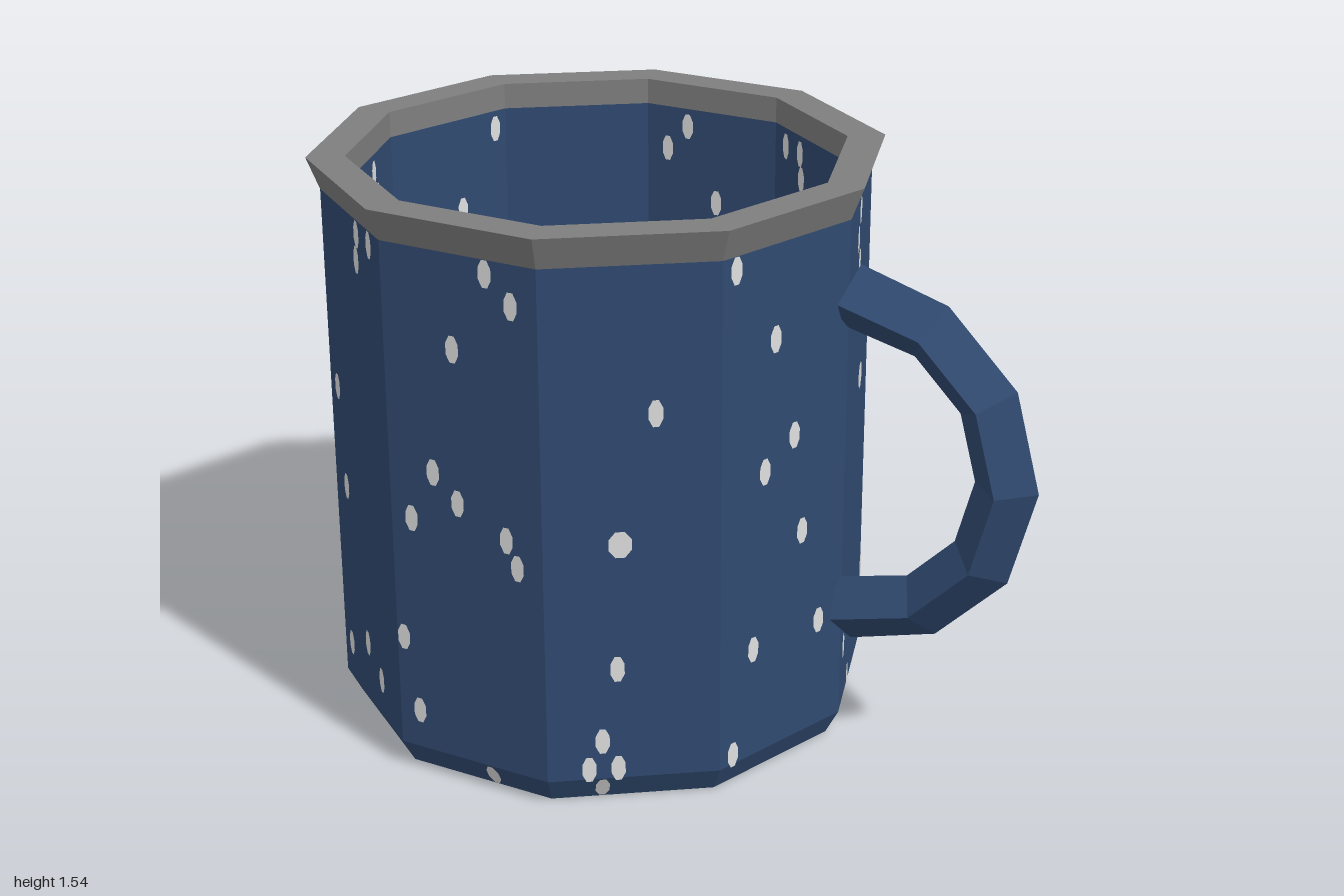
import * as THREE from 'three';
import { mergeGeometries } from 'three/addons/utils/BufferGeometryUtils.js';

const SIDES = 10, CX = -0.25, STEP = Math.PI / 5, APO = Math.cos(Math.PI / 10);
const R_BODY = 0.717, R_BASE = 0.68, R_IN = 0.65, BEVEL = 0.07, FLOOR = 0.07;

// Speckles per wall facet: [offset along facet, height, width factor]
const WALL = [
  [[.178, 1.42], [.041, 1.21], [-.03, .935], [.073, .865], [-.064, .66], [.108, .38], [-.132, .38], [.178, .10]],
  [[-.06, 1.075], [.03, .73, 1.6], [.04, .385], [.08, .18], [.115, .10], [.04, .10], [.08, .037]],
  [[-.08, 1.42], [-.15, 1.35], [.02, 1.21], [.09, .87], [.02, .80], [.16, .73], [-.12, .73], [-.15, .66],
    [.20, .385], [.16, .18], [-.05, .037]],
  [[-.06, 1.42], [-.05, 1.35], [-.15, 1.42], [.16, .935], [.13, .66], [.02, .245], [-.08, .18], [.16, .18]],
  [[.032, 1.42], [.064, 1.35], [.032, 1.28], [-.178, 1.07], [-.05, .935, 1.8], [0, .31], [-.20, .31],
    [.169, .245], [.067, .10]],
];
// Speckles on the floor, half of them; the rest follow by a half turn
const FLAT = [[-.18, -.49], [.01, -.50], [-.44, -.25], [-.325, -.30], [-.05, -.365], [.08, -.365],
  [-.07, -.16], [.16, -.245], [.26, -.26], [.375, -.23]];

function flat(geometry) {
  const g = geometry.index ? geometry.toNonIndexed() : geometry;
  g.computeVertexNormals();
  return g;
}

function ring(profile) {
  const points = profile.map(([r, y]) => new THREE.Vector2(r, y));
  return flat(new THREE.LatheGeometry(points, SIDES, Math.PI / 2)).translate(CX, 0, 0);
}

function speck(width = 1) {
  return new THREE.CircleGeometry(1, 8, Math.PI / 8).scale(0.0195 * width, 0.038, 1);
}

// Wall speckles, repeated with a half turn
function wallSpecks(inner) {
  const parts = [];
  for (let k = 0; k < SIDES; k++) {
    const phi = (k + 0.5) * STEP;
    for (const [u, y, w] of WALL[k % 5]) {
      const low = y < BEVEL;
      if (inner && low) continue;
      const g = speck(w);
      if (inner) g.scale(R_IN / R_BODY, 1, 1).rotateY(Math.PI).translate(-u * R_IN / R_BODY, y, R_IN * APO - 0.003);
      else if (low) {
        const r = R_BASE + (R_BODY - R_BASE) * y / BEVEL;
        g.rotateX(Math.atan2((R_BODY - R_BASE) * APO, BEVEL)).translate(-u, y, r * APO + 0.004);
      } else g.translate(-u, y, R_BODY * APO + 0.003);
      parts.push(g.rotateY(Math.PI / 2 - phi).translate(CX, 0, 0));
    }
  }
  return mergeGeometries(parts);
}

// Horizontal speckles facing up or down
function flatSpecks(y, up, spread) {
  const parts = [];
  for (const turn of [1, -1]) {
    for (const [px, pz] of FLAT) {
      const x = px * turn * spread, z = pz * turn * spread;
      const phi = (Math.floor(Math.atan2(z, x) / STEP) + 0.5) * STEP;
      parts.push(speck().rotateX(up ? -Math.PI / 2 : Math.PI / 2)
        .rotateY(Math.PI / 2 - phi).translate(CX + x, y, z));
    }
  }
  return mergeGeometries(parts);
}

// Diamond-section half ring with ends cut square to their segments
function handleGeometry() {
  const R = 0.436, r = 0.085;
  const parts = [new THREE.TorusGeometry(R, r, 4, 6, Math.PI).rotateZ(-Math.PI / 2)];
  for (const s of [1, -1]) parts.push(new THREE.CircleGeometry(r, 4).rotateY(-Math.PI / 2).translate(0, s * R, 0));
  const g = mergeGeometries(parts.map((p) => p.toNonIndexed()));
  const p = g.attributes.position;
  for (let i = 0; i < p.count; i++) {
    if (Math.abs(p.getX(i)) < 0.01) p.setX(i, (Math.abs(p.getY(i)) - R) * Math.tan(Math.PI / 12));
  }
  return flat(g).translate(0.474, 0.823, 0);
}

export function createModel() {
  const mat = (name, color) => Object.assign(new THREE.MeshStandardMaterial({ color }), { name });
  const blue = mat('blue enamel', 0x304a70);
  const grey = mat('grey rim', 0x7e7e7e);
  const pale = mat('pale speckle', 0xdedede);
  const model = new THREE.Group();
  model.name = 'mug';
  const add = (name, geometry, material) => {
    const mesh = new THREE.Mesh(geometry, material);
    mesh.name = name;
    model.add(mesh);
  };

  // Cup
  add('outerWall', ring([[0, 0], [R_BASE, 0], [R_BODY, BEVEL], [R_BODY, 1.455]]), blue);
  add('innerWall', ring([[R_IN, 1.47], [R_IN, FLOOR], [0, FLOOR]]), blue);
  add('rim', ring([[R_BODY, 1.455], [0.75, 1.54], [R_IN, 1.54], [R_IN, 1.47]]), grey);
  add('handle', handleGeometry(), blue);

  // Enamel speckles
  add('outerSpeckles', wallSpecks(false), pale);
  add('innerSpeckles', wallSpecks(true), pale);
  add('floorSpeckles', flatSpecks(FLOOR + 0.003, true, 1), pale);
  add('baseSpeckles', flatSpecks(-0.002, false, R_BASE / R_IN), pale);
  return model;
}
